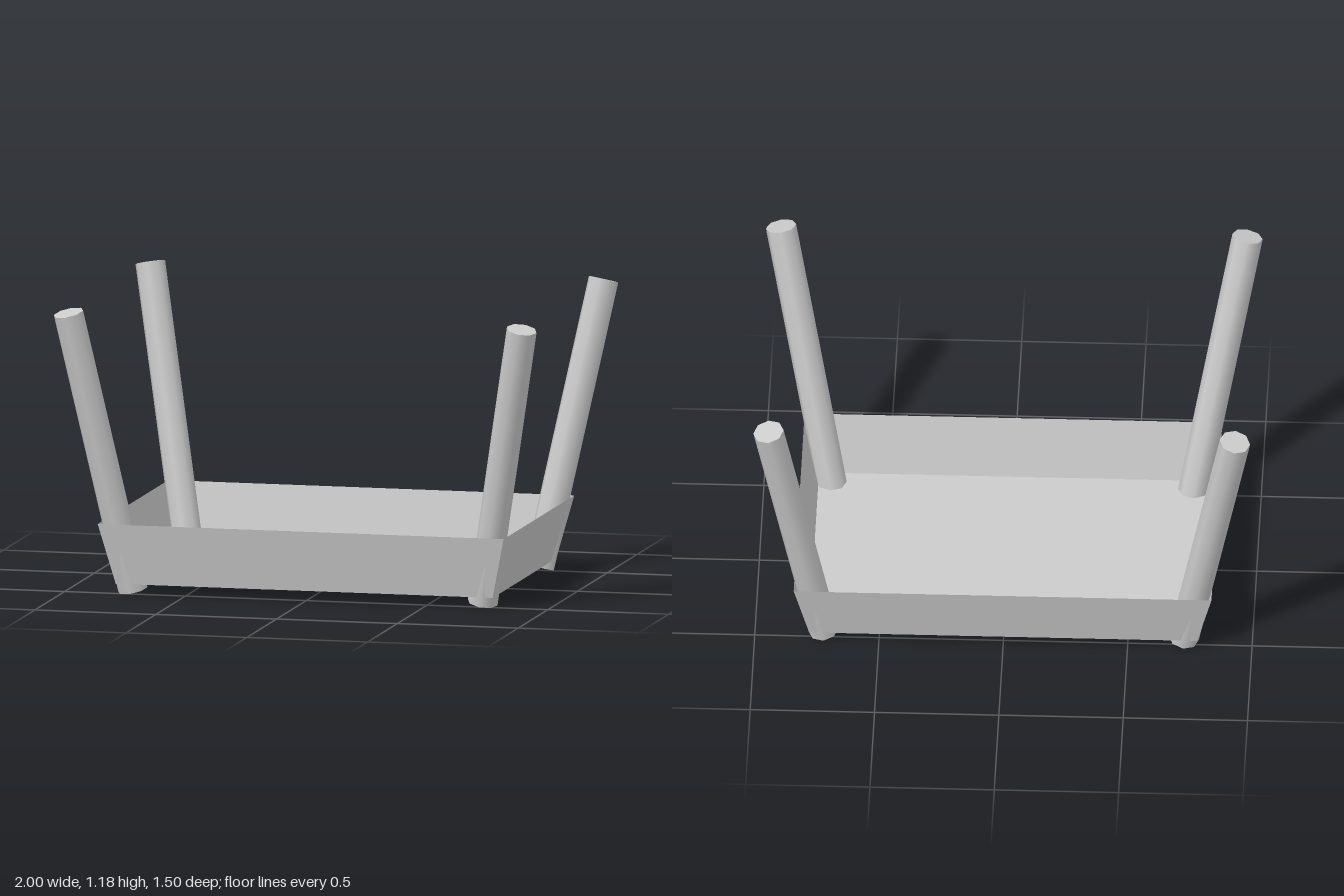
import * as THREE from 'three';

export function createModel() {
  const model = new THREE.Group();
  const material = new THREE.MeshStandardMaterial({ color: 0xcccccc });
  const thinMaterial = new THREE.MeshStandardMaterial({ color: 0xcccccc, side: THREE.DoubleSide });

  // Open tray: thin floor and four walls flaring outwards
  const corners = [[1, 1], [1, -1], [-1, -1], [-1, 1]];
  const low = corners.map(([sx, sz]) => new THREE.Vector3(0.78 * sx, 0.045, 0.535 * sz));
  const high = corners.map(([sx, sz]) => new THREE.Vector3(0.84 * sx, 0.295, 0.595 * sz));
  const points = [];
  const quad = (a, b, c, d) => points.push(a, b, c, a, c, d);
  for (let i = 0; i < 4; i++) {
    const j = (i + 1) % 4;
    quad(low[i], low[j], high[j], high[i]);
  }
  quad(low[3], low[2], low[1], low[0]);
  const trayGeometry = new THREE.BufferGeometry().setFromPoints(points);
  trayGeometry.computeVertexNormals();
  const tray = new THREE.Mesh(trayGeometry, thinMaterial);
  tray.name = 'tray';
  model.add(tray);

  // Four round legs splayed diagonally through the tray corners
  const up = new THREE.Vector3(0, 1, 0);
  const names = ['frontLeftLeg', 'backLeftLeg', 'backRightLeg', 'frontRightLeg'];
  corners.forEach(([sx, sz], i) => {
    const bottom = new THREE.Vector3(0.724 * sx, 0.016, 0.474 * sz);
    const top = new THREE.Vector3(0.938 * sx, 1.164, 0.688 * sz);
    const axis = top.clone().sub(bottom);
    const leg = new THREE.Mesh(new THREE.CylinderGeometry(0.062, 0.062, axis.length(), 8), material);
    leg.position.copy(bottom).lerp(top, 0.5);
    leg.quaternion.setFromUnitVectors(up, axis.normalize());
    leg.name = names[i];
    model.add(leg);
  });

  return model;
}
